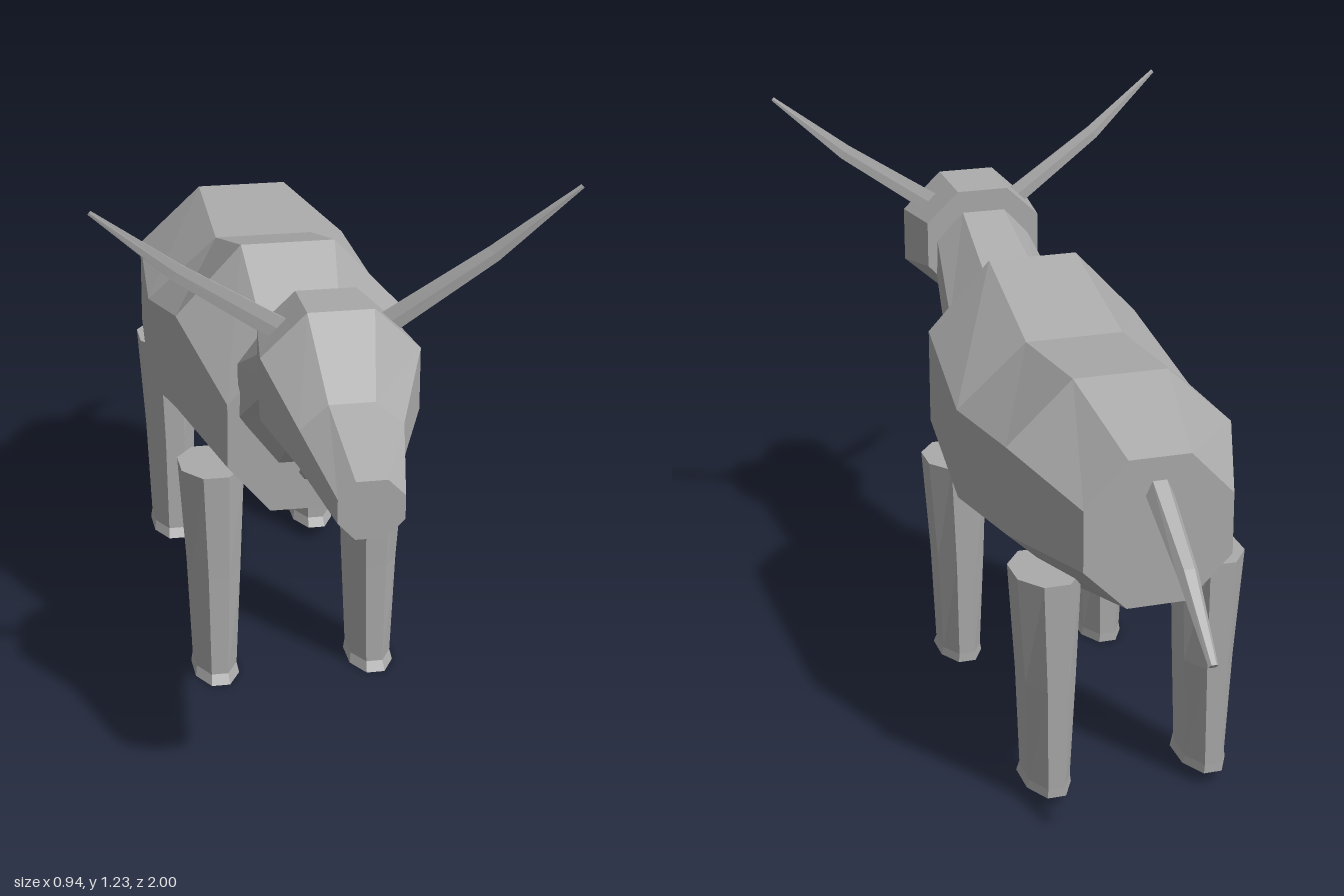
import * as THREE from 'three';

const hide = new THREE.MeshStandardMaterial({ color: 0xaaaaaa, flatShading: true });
hide.name = 'greyHide';

// Closed skin over rings that turn counter-clockwise about the direction of travel
function loft(name, rings) {
  const pos = [];
  const n = rings[0].length;
  const tri = (a, b, c) => pos.push(...a, ...b, ...c);
  for (let r = 0; r + 1 < rings.length; r++) {
    const a = rings[r], b = rings[r + 1];
    for (let i = 0; i < n; i++) {
      const j = (i + 1) % n;
      tri(a[i], a[j], b[j]);
      tri(a[i], b[j], b[i]);
    }
  }
  const first = rings[0], last = rings[rings.length - 1];
  for (let i = 1; i + 1 < n; i++) {
    tri(first[0], first[i + 1], first[i]);
    tri(last[0], last[i], last[i + 1]);
  }
  const geo = new THREE.BufferGeometry();
  geo.setAttribute('position', new THREE.Float32BufferAttribute(pos, 3));
  geo.computeVertexNormals();
  const mesh = new THREE.Mesh(geo, hide);
  mesh.name = name;
  return mesh;
}

// Eight-sided section; the ring leans from z at the top to zBottom at the bottom
function octagon([z, top, upper, lower, bottom, w, flat, zBottom = z]) {
  const corners = [[w, lower], [w, upper], [flat, top], [-flat, top],
    [-w, upper], [-w, lower], [-flat, bottom], [flat, bottom]];
  return corners.map(([x, y]) => [x, y, z + (zBottom - z) * (top - y) / (top - bottom)]);
}

// Tapered limb along [x, y, z, radius across, radius deep] points
function limb(name, path, across, sides) {
  const pts = path.map(p => new THREE.Vector3(p[0], p[1], p[2]));
  const rings = path.map((p, k) => {
    const d = pts[Math.min(k + 1, pts.length - 1)].clone().sub(pts[Math.max(k - 1, 0)]).normalize();
    const u = across.clone().addScaledVector(d, -across.dot(d)).normalize();
    const v = d.clone().cross(u);
    return Array.from({ length: sides }, (_, i) => {
      const t = (i / sides) * Math.PI * 2;
      return pts[k].clone().addScaledVector(u, Math.cos(t) * p[3])
        .addScaledVector(v, Math.sin(t) * p[4]).toArray();
    });
  });
  return loft(name, rings);
}

// Upright leg of [y, z, half width, half depth] sections, with a flared hoof
function leg(name, x, rows) {
  const k = Math.tan(Math.PI / 8);
  const shape = [[1, k], [1, -k], [k, -1], [-k, -1], [-1, -k], [-1, k], [-k, 1], [k, 1]];
  return loft(name, rows.map(([y, z, w, d, dx = 0]) =>
    shape.map(([a, b]) => [x + Math.sign(x) * dx + a * w, y, z + b * d])));
}

export function createModel() {
  const model = new THREE.Group();
  model.name = 'hornedCattle';
  const X = new THREE.Vector3(1, 0, 0), Z = new THREE.Vector3(0, 0, 1);

  // Trunk, rump to chest: z, top, upper, lower, bottom, half width, flat
  model.add(loft('body', [
    [-0.69, 0.815, 0.72, 0.59, 0.50, 0.155, 0.065],
    [-0.45, 0.90, 0.77, 0.58, 0.45, 0.24, 0.10],
    [-0.15, 0.875, 0.74, 0.54, 0.40, 0.26, 0.107],
    [0.155, 0.96, 0.81, 0.60, 0.45, 0.24, 0.10],
    [0.37, 0.78, 0.69, 0.55, 0.445, 0.165, 0.075],
  ].map(octagon)));

  model.add(loft('neck', [
    [0.33, 0.865, 0.77, 0.66, 0.56, 0.14, 0.06, 0.385],
    [0.555, 0.95, 0.89, 0.82, 0.76, 0.11, 0.05, 0.61],
  ].map(octagon)));

  // Head, poll to muzzle
  model.add(loft('head', [
    [0.56, 1.00, 0.93, 0.825, 0.745, 0.135, 0.06],
    [0.71, 1.01, 0.925, 0.80, 0.72, 0.155, 0.065],
    [0.82, 0.867, 0.82, 0.745, 0.69, 0.10, 0.045],
    [1.00, 0.79, 0.757, 0.71, 0.675, 0.063, 0.03],
  ].map(octagon)));

  // Fold of skin under the throat
  model.add(limb('dewlap', [
    [0, 0.715, 0.65, 0.025, 0.02], [0, 0.63, 0.52, 0.028, 0.025], [0, 0.54, 0.395, 0.02, 0.018],
  ], X, 6));

  model.add(limb('tail', [
    [0, 0.755, -0.66, 0.03, 0.03], [0, 0.64, -0.85, 0.022, 0.018], [0, 0.515, -0.995, 0.01, 0.007],
  ], X, 6));

  for (const s of [1, -1]) {
    const side = s > 0 ? 'left' : 'right';
    // Flat, blade-like horns sweeping up and out
    model.add(limb(side + 'Horn', [
      [s * 0.09, 0.945, 0.642, 0.005, 0.028],
      [s * 0.305, 1.09, 0.665, 0.004, 0.02],
      [s * 0.466, 1.223, 0.69, 0.002, 0.005],
    ], Z, 6));

    model.add(leg(side + 'FrontLeg', s * 0.172, [
      [0, 0.21, 0.048, 0.088],
      [0.02, 0.203, 0.044, 0.08],
      [0.25, 0.20, 0.054, 0.083],
      [0.49, 0.20, 0.067, 0.087, 0.004],
    ]));
    model.add(leg(side + 'HindLeg', s * 0.172, [
      [0.03, -0.48, 0.048, 0.095],
      [0.05, -0.488, 0.044, 0.087],
      [0.28, -0.494, 0.054, 0.09],
      [0.52, -0.50, 0.067, 0.092, 0.004],
    ]));
  }
  return model;
}
